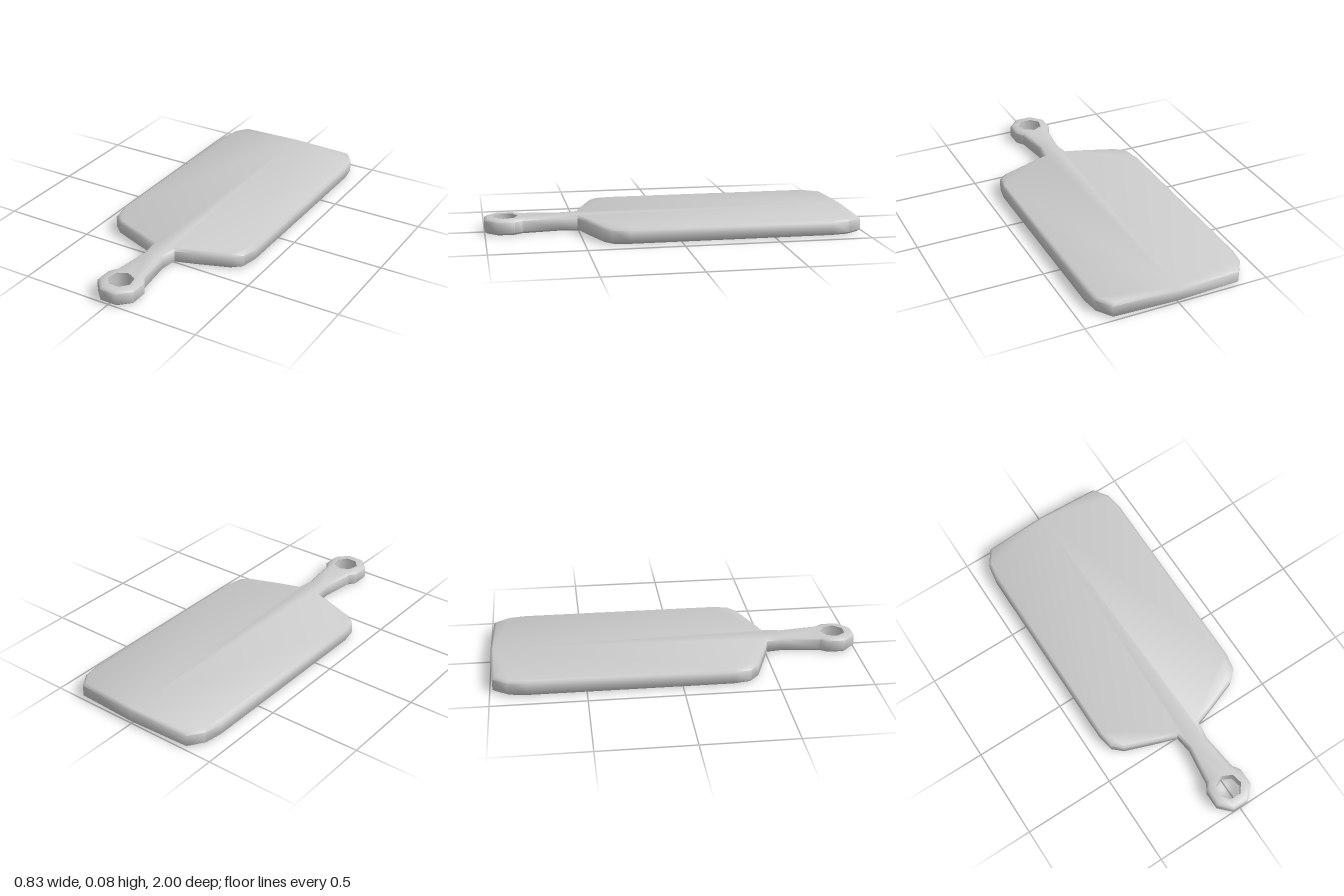
import * as THREE from 'three';
import { toCreasedNormals } from 'three/addons/utils/BufferGeometryUtils.js';

const HEIGHT = 0.083, BEVEL = 0.012, INSET = 0.015;
const HOLE_Z = 0.888, HOLE_R = 0.068;

// Half outline of board, neck and handle as [x, z], from the back to the handle tip
const half = [
  [0.345, -0.985], [0.4, -0.905], [0.415, -0.81], [0.415, 0.27], [0.398, 0.36],
  [0.345, 0.408], [0.16, 0.476], [0.068, 0.506], [0.055, 0.6], [0.08, 0.8],
  [0.108, 0.842], [0.108, 0.935], [0.045, 1.0],
];

export function createModel() {
  const group = new THREE.Group();

  const mirrored = half.map(([x, z]) => [-x, z]).reverse();
  const outline = [[0, -1], ...half, ...mirrored].map(([x, z]) => new THREE.Vector2(x, z));
  const shape = new THREE.Shape(outline);

  // Seven-sided hanging hole
  const hole = [];
  for (let i = 0; i < 7; i++) {
    const a = -Math.PI / 2 - (i / 7) * Math.PI * 2;
    hole.push(new THREE.Vector2(Math.cos(a) * HOLE_R, HOLE_Z + Math.sin(a) * HOLE_R));
  }
  shape.holes.push(new THREE.Path(hole));

  const geometry = new THREE.ExtrudeGeometry(shape, {
    depth: HEIGHT - 2 * BEVEL,
    bevelEnabled: true,
    bevelThickness: BEVEL,
    bevelSize: INSET,
    bevelOffset: -INSET,
    bevelSegments: 1,
  });

  // Keep the hole wall straight: only the outer rim is bevelled
  const pos = geometry.attributes.position;
  for (let i = 0; i < pos.count; i++) {
    const x = pos.getX(i), dz = pos.getY(i) - HOLE_Z;
    const r = Math.hypot(x, dz);
    if (r < 0.088) pos.setXY(i, (x / r) * HOLE_R, HOLE_Z + (dz / r) * HOLE_R);
  }

  // Lay flat on the ground
  geometry.rotateX(Math.PI / 2);
  geometry.translate(0, HEIGHT - BEVEL, 0);

  const board = new THREE.Mesh(
    toCreasedNormals(geometry, THREE.MathUtils.degToRad(55)),
    new THREE.MeshStandardMaterial({ color: 0xcccccc })
  );
  board.name = 'cuttingBoard';
  group.add(board);
  return group;
}
